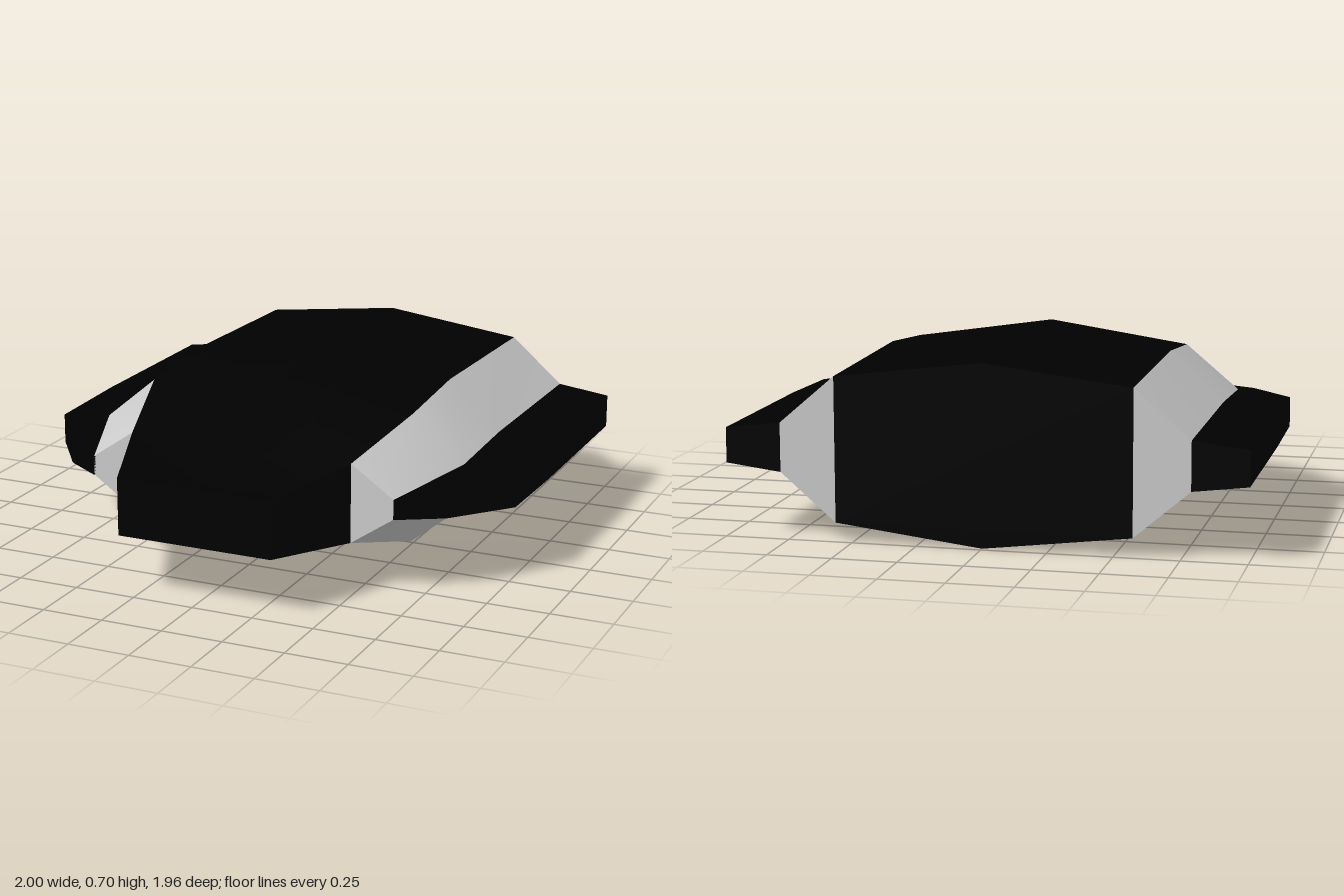
import * as THREE from 'three';
import { toCreasedNormals } from 'three/addons/utils/BufferGeometryUtils.js';

const MID = 0.35; // height of the horizontal symmetry plane

// Skin a list of [z, ring] sections, front to back, and cap both ends.
// Rings run counter-clockwise seen from the front.
function loft(sections) {
  const n = sections[0][1].length;
  const pos = [];
  const index = [];
  for (const [z, ring] of sections) {
    for (const [x, y] of ring) pos.push(x, MID + y, z);
  }
  for (let s = 0; s < sections.length - 1; s++) {
    for (let i = 0; i < n; i++) {
      const a = s * n + i;
      const b = s * n + (i + 1) % n;
      index.push(a, a + n, b + n, a, b + n, b);
    }
  }
  const last = (sections.length - 1) * n;
  for (let i = 1; i < n - 1; i++) {
    index.push(0, i, i + 1, last, last + i + 1, last + i);
  }
  const geo = new THREE.BufferGeometry();
  geo.setAttribute('position', new THREE.Float32BufferAttribute(pos, 3));
  geo.setIndex(index);
  return toCreasedNormals(geo, 0.5);
}

// Four-cornered ring between an inner and an outer edge; side is 1 or -1
function sideRing(side, xIn, hIn, xOut, hOut) {
  const ring = [[xIn, -hIn], [xOut, -hOut], [xOut, hOut], [xIn, hIn]]
    .map(([x, y]) => [x * side, y]);
  return side > 0 ? ring : ring.reverse();
}

export function createModel() {
  const group = new THREE.Group();
  const black = new THREE.MeshStandardMaterial({ color: 0x000000 });
  const grey = new THREE.MeshStandardMaterial({ color: 0xcccccc });

  const add = (name, sections, material) => {
    const mesh = new THREE.Mesh(loft(sections), material);
    mesh.name = name;
    group.add(mesh);
  };

  // Central hull: z, half width, half height at the edge, half height at the ridge
  const hull = [
    [0.98, 0.32, 0.115, 0.115],
    [0.58, 0.47, 0.16, 0.16],
    [0.2, 0.57, 0.265, 0.35],
    [-0.2, 0.57, 0.298, 0.35],
    [-0.98, 0.57, 0.28, 0.35],
  ];
  add('hull', hull.map(([z, w, e, r]) =>
    [z, [[w, -e], [w, e], [0, r], [-w, e], [-w, -e], [0, -r]]]), black);

  // Sloping side bands and outer fins: z, inner x, inner half height, outer x, outer half height
  const band = [
    [0.58, 0.47, 0.16, 0.645, 0.04],
    [0.2, 0.57, 0.265, 0.785, 0.085],
    [-0.2, 0.57, 0.298, 0.785, 0.102],
    [-0.98, 0.57, 0.28, 0.785, 0.095],
  ];
  const fin = [
    [0.58, 0.64, 0.04, 0.65, 0.04],
    [0.46, 0.689, 0.054, 0.815, 0.048],
    [0.2, 0.785, 0.085, 1, 0.06],
    [-0.2, 0.785, 0.102, 1, 0.07],
    [-0.98, 0.785, 0.095, 1, 0.068],
  ];
  for (const [label, side] of [['left', 1], ['right', -1]]) {
    const rings = (rows) => rows.map(([z, ...r]) => [z, sideRing(side, ...r)]);
    add(label + 'SideBand', rings(band), grey);
    add(label + 'Fin', rings(fin), black);
  }
  return group;
}
